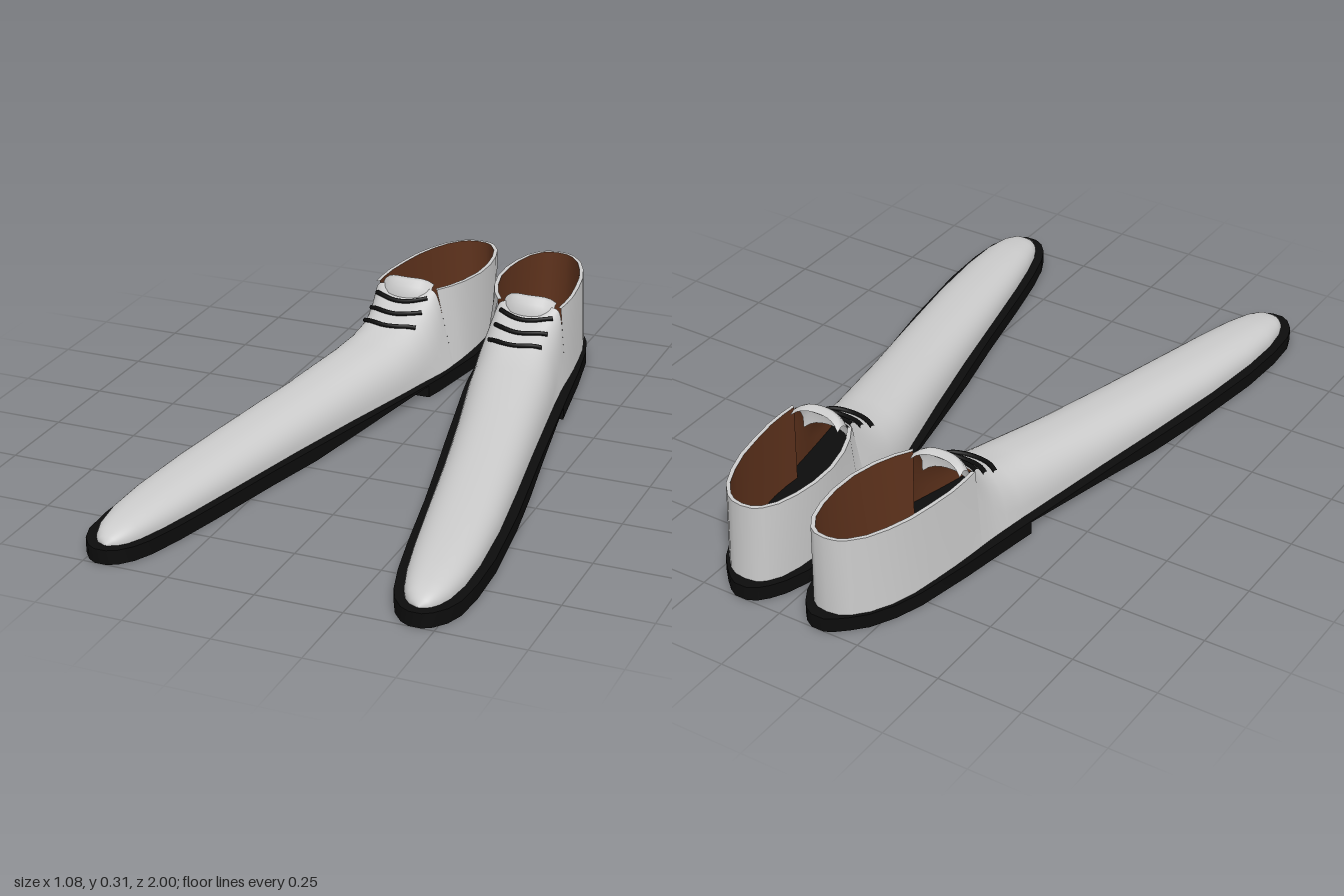
import * as THREE from 'three';
import { toCreasedNormals } from 'three/addons/utils/BufferGeometryUtils.js';

const SOLE_TOP = 0.042, RIM = 0.28;
const grey = new THREE.MeshStandardMaterial({ color: 0xcccccc });
const greyThin = new THREE.MeshStandardMaterial({ color: 0xcccccc, side: THREE.DoubleSide });
const black = new THREE.MeshStandardMaterial({ color: 0x0c0c0c });
const brown = new THREE.MeshStandardMaterial({ color: 0x5e321c });
const lerp = THREE.MathUtils.lerp;

// Sole outline: z, inner x, outer x
const SOLE = [
  [-1, 0.105, 0.145], [-0.985, 0.08, 0.17], [-0.96, 0.058, 0.198], [-0.92, 0.035, 0.235],
  [-0.85, 0.012, 0.272], [-0.77, 0.003, 0.299], [-0.6, 0.01, 0.332], [-0.4, 0.042, 0.364],
  [-0.34, 0.055, 0.374], [0, 0.135, 0.43], [0.2, 0.183, 0.465], [0.4, 0.23, 0.5],
  [0.65, 0.283, 0.533], [0.8, 0.318, 0.54], [0.9, 0.348, 0.534], [0.95, 0.372, 0.517],
  [0.985, 0.402, 0.49], [1, 0.43, 0.465],
];

// Vamp sections: z, base inner, base outer, top y, top inner, top outer, squareness
const VAMP = [
  [-0.51, 0.042, 0.322, 0.28, 0.1, 0.3, 12], [-0.48, 0.045, 0.325, 0.26, 0.095, 0.3, 6],
  [-0.44, 0.052, 0.33, 0.237, 0.09, 0.302, 4], [-0.4, 0.062, 0.336, 0.216, 0.086, 0.313, 3.2],
  [-0.34, 0.078, 0.345, 0.193, 0.088, 0.335, 2.7], [-0.25, 0.099, 0.36, 0.178, 0.1, 0.358, 2.5],
  [0, 0.163, 0.402, 0.155, 0.163, 0.402, 2.4], [0.25, 0.222, 0.446, 0.139, 0.222, 0.446, 2.4],
  [0.5, 0.276, 0.487, 0.124, 0.276, 0.487, 2.4], [0.7, 0.32, 0.509, 0.111, 0.32, 0.509, 2.4],
  [0.82, 0.35, 0.513, 0.101, 0.35, 0.513, 2.4], [0.9, 0.376, 0.504, 0.089, 0.376, 0.504, 2.4],
  [0.94, 0.396, 0.49, 0.077, 0.396, 0.49, 2.4], [0.962, 0.416, 0.474, 0.063, 0.416, 0.474, 2.2],
  [0.975, 0.444, 0.446, 0.044, 0.444, 0.446, 2],
];

// Heel collar: z, base inner, base outer, rim inner, rim outer
const COLLAR = [
  [-0.51, 0.042, 0.322, 0.1, 0.3], [-0.56, 0.037, 0.317, 0.07, 0.303], [-0.62, 0.033, 0.31, 0.046, 0.302],
  [-0.7, 0.03, 0.298, 0.028, 0.292], [-0.78, 0.031, 0.284, 0.026, 0.278], [-0.85, 0.038, 0.262, 0.035, 0.255],
  [-0.91, 0.053, 0.23, 0.052, 0.226], [-0.95, 0.078, 0.194, 0.078, 0.19], [-0.965, 0.1, 0.168, 0.1, 0.164],
];

// Skin over rows of [x, y, z]; s mirrors in x, flip turns the faces over
function skin(rows, s, flip = false) {
  const n = rows[0].length, index = [];
  for (let i = 0; i < rows.length - 1; i++) {
    for (let j = 0; j < n - 1; j++) {
      const a = i * n + j, b = a + 1, c = a + n, d = c + 1;
      if ((s < 0) !== flip) index.push(a, c, b, b, c, d);
      else index.push(a, b, c, b, d, c);
    }
  }
  const geo = new THREE.BufferGeometry();
  const pos = rows.flat().flatMap(([x, y, z]) => [x * s, y, z]);
  geo.setAttribute('position', new THREE.Float32BufferAttribute(pos, 3));
  geo.setIndex(index);
  geo.computeVertexNormals();
  return geo;
}

// Closed slab following the sole outline, with a bottom height rule
function slab(outline, bottom, s) {
  const rows = outline.map(([z, a, b]) => {
    const y = bottom(z);
    return [[b, SOLE_TOP, z], [a, SOLE_TOP, z], [a, y, z], [b, y, z], [b, SOLE_TOP, z]];
  });
  const cap = (row) => row.map(() => [(row[0][0] + row[1][0]) / 2, (row[0][1] + row[2][1]) / 2, row[0][2]]);
  const all = [cap(rows[0]), ...rows, cap(rows[rows.length - 1])];
  return toCreasedNormals(skin(all, s).toNonIndexed(), 0.7);
}

// Arched vamp section from the outer base over to the inner base
function arch([z, inB, outB, top, inT, outT, e], segments = 28) {
  return Array.from({ length: segments + 1 }, (_, k) => {
    const a = (Math.PI * k) / segments, c = Math.cos(a);
    const u = Math.sign(c) * Math.abs(c) ** (2 / e);
    const v = Math.max(0, Math.sin(a)) ** (2 / e);
    const l = lerp(inB, inT, v), r = lerp(outB, outT, v);
    return [(l + r) / 2 + (u * (r - l)) / 2, lerp(SOLE_TOP, top, v), z];
  });
}

// Vamp height at a point
function vampY(x, z) {
  const i = Math.max(0, VAMP.findIndex((r) => r[0] > z) - 1);
  const t = (z - VAMP[i][0]) / (VAMP[i + 1][0] - VAMP[i][0]);
  const pts = arch(VAMP[i].map((v, k) => lerp(v, VAMP[i + 1][k], t)), 80);
  return Math.max(...pts.filter((p) => Math.abs(p[0] - x) < 0.012).map((p) => p[1]));
}

function shoe(s) {
  const group = new THREE.Group();
  const add = (name, geo, mat) => {
    const mesh = new THREE.Mesh(geo, mat);
    mesh.name = name;
    group.add(mesh);
  };

  // Heel block and long sole with a raised arch
  add('heel', slab(SOLE.filter((r) => r[0] <= -0.34), () => 0, s), black);
  add('sole', slab(SOLE.filter((r) => r[0] >= -0.34), (z) => Math.max(0, (0.2 - z) * 0.07), s), black);

  // Vamp and its inside face
  const vamp = VAMP.map((r) => arch(r));
  add('vamp', skin(vamp, s), grey);
  add('vampLining', skin(vamp, s, true), brown);

  // Collar wall, rim and lining, walked from the inner side round the back
  const walk = [
    ...COLLAR.map(([z, b, , r]) => [z, b, r]),
    [-0.97, 0.133, 0.132],
    ...COLLAR.map(([z, , b, , r]) => [z, b, r]).reverse(),
  ];
  const inset = ([z, , r]) => {
    const d = new THREE.Vector2(0.17 - r, (-0.72 - z) * 0.4).setLength(0.012);
    return [r + d.x, RIM, z + d.y];
  };
  add('collar', skin(walk.map(([z, b, r]) =>
    [0, 0.5, 1].map((v) => [lerp(b, r, v), lerp(SOLE_TOP, RIM, v), z])), s), grey);
  add('collarRim', skin(walk.map((w) => [[w[2], RIM, w[0]], inset(w)]), s), grey);
  add('collarLining', skin(walk.map((w) => {
    const p = inset(w);
    return [p, [p[0], SOLE_TOP, p[2]]];
  }), s), brown);

  // Tongue curling back over the opening
  const tongue = [[0.225, -0.47], [0.262, -0.472], [0.288, -0.485], [0.304, -0.499], [0.308, -0.512], [0.298, -0.53]];
  add('tongue', skin(tongue.map(([y, z]) => Array.from({ length: 11 }, (_, k) => {
    const u = k / 5 - 1;
    return [0.198 + u * 0.08, y - 0.022 * u ** 4, z - 0.022 * u * u];
  })), s), greyThin);

  // Three laces bowed across the instep
  for (const z0 of [-0.455, -0.41, -0.36]) {
    const pts = Array.from({ length: 9 }, (_, k) => {
      const u = k / 4 - 1, x = 0.202 + u * 0.083, z = z0 - 0.025 * u * u;
      return new THREE.Vector3(x * s, vampY(x, z) + 0.004, z);
    });
    add('lace', new THREE.TubeGeometry(new THREE.CatmullRomCurve3(pts), 20, 0.007, 8), black);
  }
  return group;
}

export function createModel() {
  const model = new THREE.Group();
  model.name = 'pairOfLongShoes';
  for (const s of [1, -1]) {
    const g = shoe(s);
    g.name = s > 0 ? 'leftShoe' : 'rightShoe';
    model.add(g);
  }
  return model;
}
